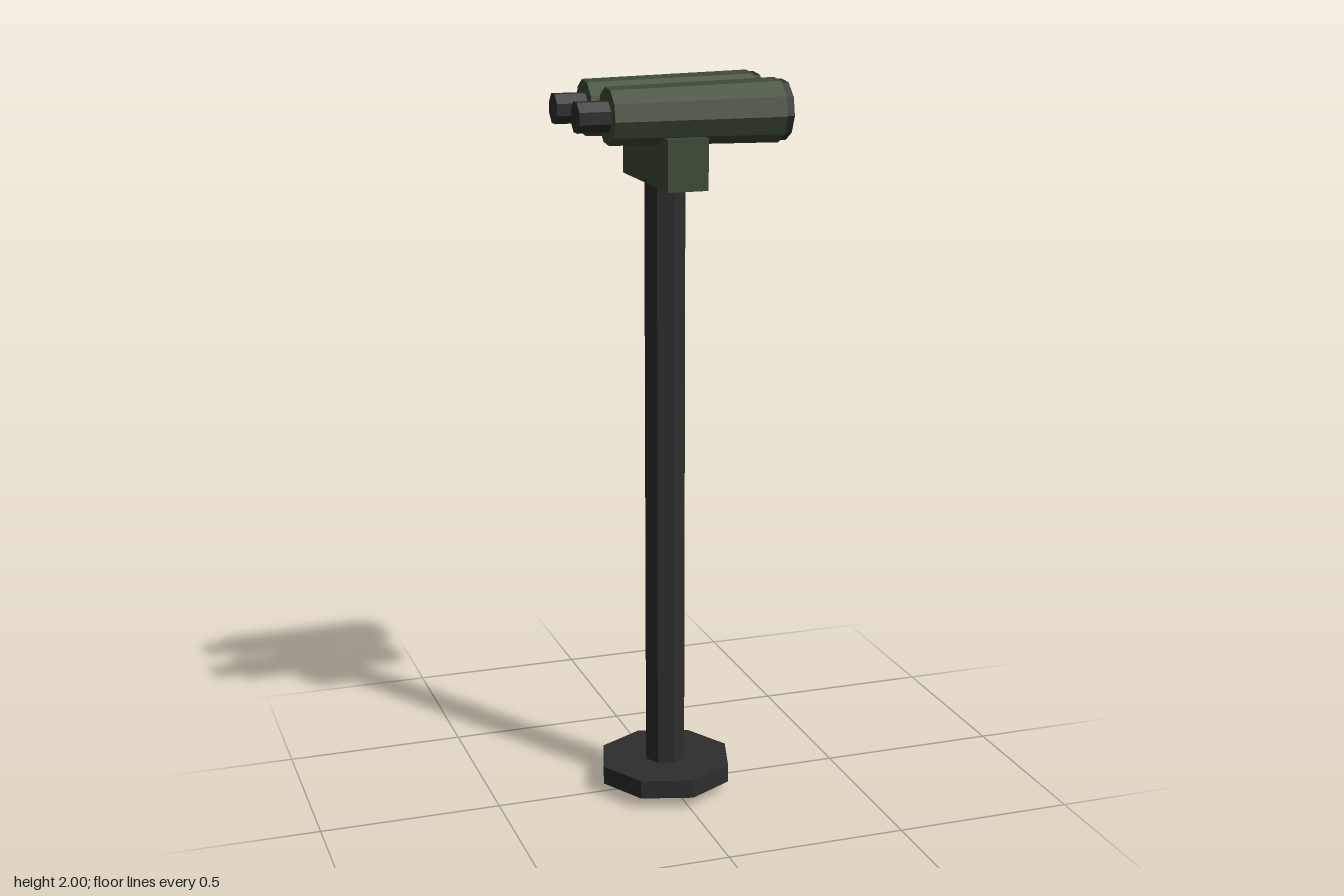
import * as THREE from 'three';

const rad = THREE.MathUtils.degToRad;

export function createModel() {
  const model = new THREE.Group();
  model.name = 'standBinoculars';

  const green = new THREE.MeshStandardMaterial({ color: 0x3d4a35, flatShading: true });
  green.name = 'olive green';
  const dark = new THREE.MeshStandardMaterial({ color: 0x2d2d2e, flatShading: true });
  dark.name = 'dark grey';

  function add(parent, name, geometry, material, x, y, z) {
    const mesh = new THREE.Mesh(geometry, material);
    mesh.name = name;
    mesh.position.set(x, y, z);
    parent.add(mesh);
    return mesh;
  }

  // Upright octagonal cylinder spanning y0..y1
  const standX = -0.011;
  function upright(name, radius, y0, y1) {
    const geometry = new THREE.CylinderGeometry(radius, radius, y1 - y0, 8);
    geometry.rotateY(rad(6));
    add(model, name, geometry, dark, standX, (y0 + y1) / 2, 0);
  }

  // Cylinder lying along x, from x0 (radius r0) to x1 (radius r1)
  function lying(parent, name, r0, r1, x0, x1, sides, turn, material) {
    const geometry = new THREE.CylinderGeometry(r1, r0, x1 - x0, sides, 1, false, rad(turn));
    geometry.rotateZ(-Math.PI / 2);
    add(parent, name, geometry, material, (x0 + x1) / 2, 0, 0);
  }

  // Stand
  upright('foot', 0.19, 0.032, 0.084);
  upright('pole', 0.058, 0, 1.738);
  add(model, 'cradle', new THREE.BoxGeometry(0.11, 0.135, 0.383), green, standX, 1.7945, -0.0015);

  // Two scope tubes with lens and eyepiece
  for (const [name, z] of [['frontScope', 0.102], ['backScope', -0.104]]) {
    const scope = new THREE.Group();
    scope.name = name;
    scope.position.set(0, 1.917, z);
    lying(scope, 'barrel', 0.075, 0.085, -0.201, 0.262, 10, 6, green);
    lying(scope, 'lens', 0.08, 0.08, 0.262, 0.283, 10, 6, dark);
    lying(scope, 'eyepiece', 0.042, 0.042, -0.285, -0.201, 8, -22.5, dark);
    model.add(scope);
  }

  // Bridge between the tubes
  add(model, 'bridge', new THREE.BoxGeometry(0.164, 0.06, 0.1), dark, 0.016, 1.918, -0.001);

  return model;
}
